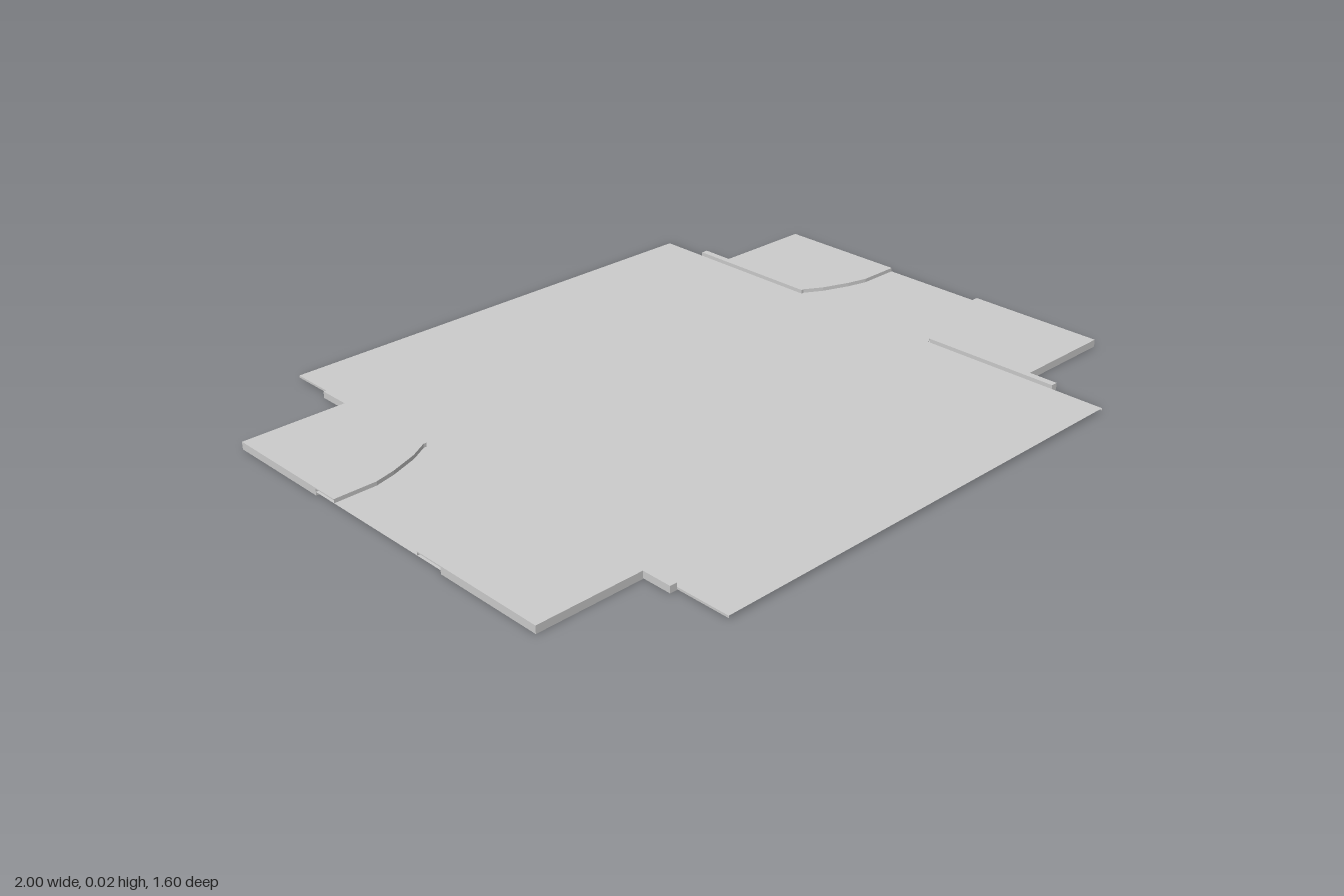
import * as THREE from 'three';

const mat = new THREE.MeshStandardMaterial({ color: 0xcccccc, flatShading: true, side: THREE.DoubleSide });

export function createModel() {
  const model = new THREE.Group();
  const add = (geometry, name) => {
    const mesh = new THREE.Mesh(geometry, mat);
    mesh.name = name;
    model.add(mesh);
  };
  // Horizontal outline from [x, z] pairs
  const outline = pts => new THREE.Shape(pts.map(([x, z]) => new THREE.Vector2(x, -z)));
  // Box from its extents, mirrored into a corner by sx and sz
  const box = (name, sx, sz, x0, x1, y0, y1, z0, z1) => add(
    new THREE.BoxGeometry(x1 - x0, y1 - y0, z1 - z0)
      .translate(sx * (x0 + x1) / 2, (y0 + y1) / 2, sz * (z0 + z1) / 2), name);

  // Thin cross-shaped sheet, open at the front and back edges
  const sheet = outline([
    [-0.68, -0.8], [0.68, -0.8], [0.68, -0.24], [1, -0.24], [1, 0.24], [0.68, 0.24],
    [0.68, 0.8], [-0.68, 0.8], [-0.68, 0.24], [-1, 0.24], [-1, -0.24], [-0.68, -0.24],
  ]);
  add(new THREE.ShapeGeometry(sheet).rotateX(-Math.PI / 2).translate(0, 0.01, 0), 'sheet');

  // Vertical lips down both long edges of the sheet
  for (const sx of [-1, 1]) {
    add(new THREE.PlaneGeometry(1.6, 0.006).rotateY(sx * Math.PI / 2)
      .translate(sx * 0.68, 0.007, 0), 'sheetLip');
  }

  for (const sx of [-1, 1]) for (const sz of [-1, 1]) {
    // Raised corner panel with a curved inner edge
    const curve = [[1, 0.16], [0.88, 0.16], [0.82, 0.175], [0.74, 0.205], [0.68, 0.24]];
    const pts = [...curve, [0.68, 0.56], [1, 0.56]]
      .map(([x, z]) => [sx * x, sz * z - (z < 0.3 ? 0.005 : 0)]);
    add(new THREE.ExtrudeGeometry(outline(pts), { depth: 0.003, bevelEnabled: false })
      .rotateX(-Math.PI / 2).translate(0, 0.018, 0), 'cornerPanel');

    // Step from the panel's curved edge down to the sheet
    for (let i = 0; i < curve.length - 1; i++) {
      const [a, b] = [pts[i], pts[i + 1]];
      const step = new THREE.PlaneGeometry(Math.hypot(b[0] - a[0], b[1] - a[1]), 0.01)
        .rotateY(-Math.atan2(b[1] - a[1], b[0] - a[0]))
        .translate((a[0] + b[0]) / 2, 0.015, (a[1] + b[1]) / 2);
      add(step, 'curvedStep');
    }

    // Rim under the panel, open at the bottom
    box('rimOuter', sx, sz, 0.992, 1, 0, 0.02, 0.24, 0.56);
    box('rimEnd', sx, sz, 0.7, 1, 0, 0.02, 0.552, 0.56);
    box('rimInner', sx, sz, 0.7, 1, 0, 0.02, 0.24, 0.248);

    // Rail between the panel and the sheet
    box('rail', sx, sz, 0.68, 0.7, 0.002, 0.021, 0.24, sz < 0 ? 0.655 : 0.645);
  }
  return model;
}
